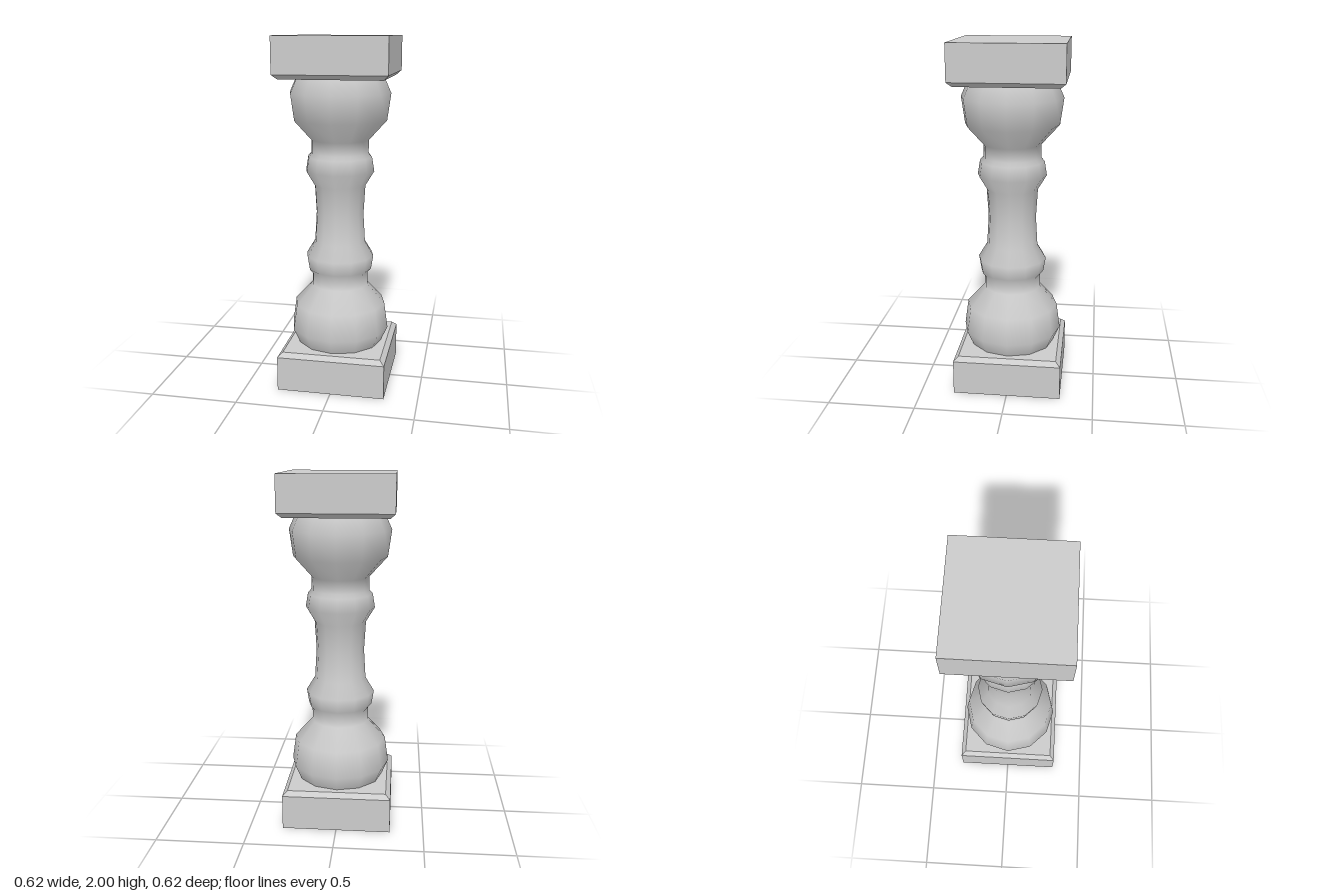
import * as THREE from 'three';

const toPoints = (pairs) => pairs.map(([r, y]) => new THREE.Vector2(r, y));

// Square slab with one chamfered edge, turned as a four-sided lathe
function makeSlab(name) {
  const profile = [[0, 0], [0.309, 0], [0.309, 0.2], [0.282, 0.225], [0, 0.225]];
  const geometry = new THREE.LatheGeometry(
    toPoints(profile.map(([half, y]) => [half * Math.SQRT2, y])), 4, Math.PI / 4);
  const mesh = new THREE.Mesh(geometry,
    new THREE.MeshStandardMaterial({ color: 0xcccccc, flatShading: true }));
  mesh.name = name;
  return mesh;
}

export function createModel() {
  const group = new THREE.Group();
  group.name = 'baluster';

  // Square base, and the same slab turned over as the cap
  const base = makeSlab('base');
  const cap = makeSlab('cap');
  cap.rotation.x = Math.PI;
  cap.position.y = 2;

  // Turned shaft: lower half profile (radius, height), mirrored about the waist
  const lower = [
    [0.25, 0.225], [0.288, 0.31], [0.267, 0.46], // bulb
    [0.165, 0.573], [0.165, 0.647],              // neck
    [0.185, 0.67], [0.198, 0.75],                // ring
    [0.148, 0.833],
  ];
  const upper = lower.map(([r, y]) => [r, 2 - y]).reverse();
  const shaft = new THREE.Mesh(
    new THREE.LatheGeometry(toPoints([...lower, [0.138, 1], ...upper]), 12),
    new THREE.MeshStandardMaterial({ color: 0xcccccc }));
  shaft.name = 'shaft';

  group.add(base, shaft, cap);
  return group;
}
